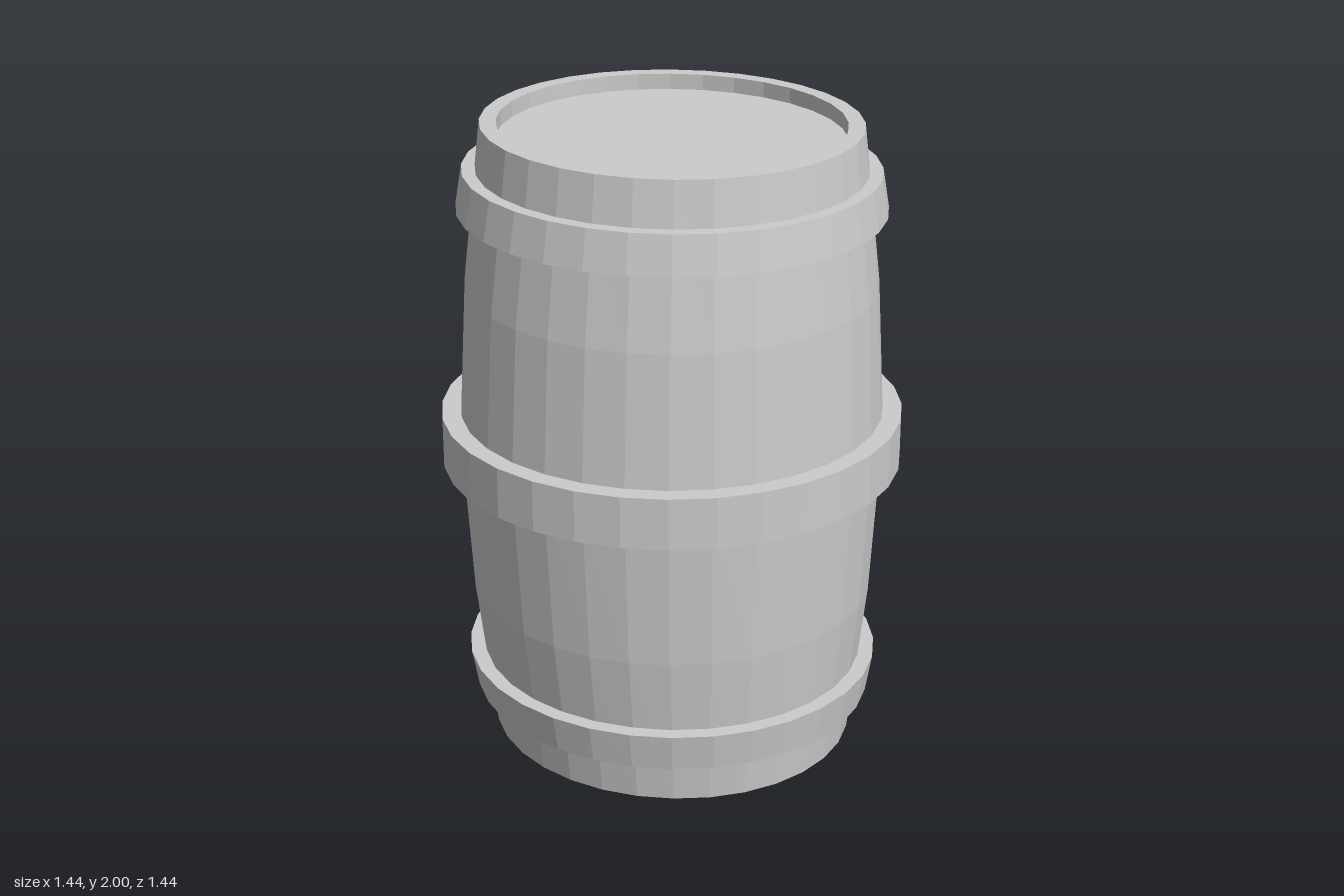
import * as THREE from 'three';

const SIDES = 32;

// Lathe a profile (bottom to top), then narrow it in z toward the barrel ends.
function turned(name, profile) {
  let geo = new THREE.LatheGeometry(profile.map(([r, y]) => new THREE.Vector2(r, y)), SIDES);
  const pos = geo.attributes.position;
  for (let i = 0; i < pos.count; i++) {
    const d = pos.getY(i) - 1;
    pos.setZ(i, pos.getZ(i) * (1 - 0.045 * d * d));
  }
  geo = geo.toNonIndexed();
  geo.computeVertexNormals();
  const mesh = new THREE.Mesh(geo, new THREE.MeshStandardMaterial({ color: 0xcccccc, flatShading: true }));
  mesh.name = name;
  return mesh;
}

// Closed ring whose inner wall is sunk into the barrel.
function hoop(name, y0, y1, r0, r1, inner) {
  return turned(name, [[inner, y0], [r0, y0], [r1, y1], [inner, y1], [inner, y0]]);
}

export function createModel() {
  const barrel = new THREE.Group();
  barrel.name = 'barrel';

  // Bulging staves with a raised rim at both ends
  barrel.add(turned('staves', [
    [0.54, 0.05], [0.54, 0], [0.592, 0], [0.64, 0.5], [0.665, 1],
    [0.64, 1.5], [0.592, 2], [0.54, 2], [0.54, 1.95],
  ]));

  // Recessed heads
  barrel.add(turned('bottomHead', [[0, 0.05], [0.54, 0.05]]));
  barrel.add(turned('topHead', [[0.54, 1.95], [0, 1.95]]));

  // Hoops
  barrel.add(hoop('lowerHoop', 0.14, 0.262, 0.647, 0.665, 0.59));
  barrel.add(hoop('middleHoop', 0.925, 1.087, 0.72, 0.72, 0.64));
  barrel.add(hoop('upperHoop', 1.738, 1.86, 0.665, 0.647, 0.59));

  return barrel;
}
